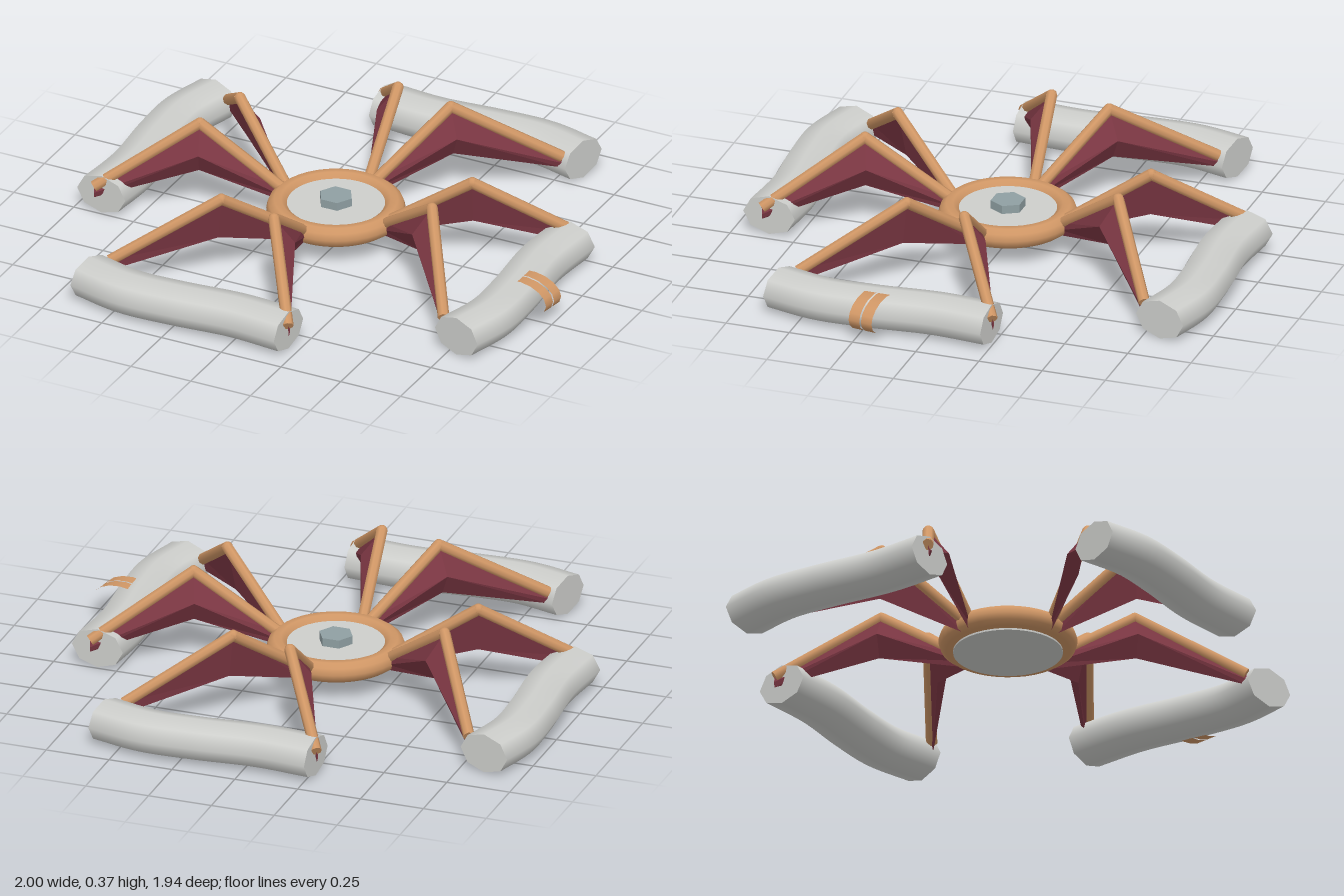
import * as THREE from 'three';

const material = (name, color, extra = {}) =>
  new THREE.MeshStandardMaterial({ name, color, ...extra });
const V = (x, y, z) => new THREE.Vector3(x, y, z);

export function createModel() {
  const copper = material('copper', 0xcf9665);
  const maroon = material('maroon', 0x7a3642, { side: THREE.DoubleSide, flatShading: true });
  const pale = material('pale grey', 0xcdcecb);
  const steel = material('steel', 0x8f9fa2, { flatShading: true });

  const model = new THREE.Group();
  model.name = 'model';
  model.position.x = -0.03;

  const add = (parent, name, geometry, mat) => {
    const mesh = new THREE.Mesh(geometry, mat);
    mesh.name = name;
    parent.add(mesh);
    return mesh;
  };

  // Round bar between two points
  const bar = (parent, name, a, b, r = 0.022) => {
    const mesh = add(parent, name, new THREE.CylinderGeometry(r, r, a.distanceTo(b), 8), copper);
    mesh.position.copy(a).lerp(b, 0.5);
    mesh.quaternion.setFromUnitVectors(V(0, 1, 0), b.clone().sub(a).normalize());
  };

  // Triangular-section web hanging under a leg, bulging towards the hub-to-tip line
  const web = (parent, start, knee, tip) => {
    const along = tip.clone().sub(start).setY(0).normalize();
    const reach = knee.clone().sub(start).setY(0).dot(along);
    const side = start.clone().addScaledVector(along, reach).sub(knee).setY(0);
    const section = (p, drop, bulge) => [
      p.clone(),
      p.clone().addScaledVector(side, bulge).setY(p.y - drop * 0.55),
      p.clone().addScaledVector(side, bulge * 0.45).setY(p.y - drop),
    ];
    const rings = [section(start, 0.05, 0.1), section(knee, 0.18, 0.95), section(tip, 0.045, 0.1)];
    const points = [];
    for (let i = 0; i < 2; i++) {
      for (let j = 0; j < 3; j++) {
        const k = (j + 1) % 3, a = rings[i], b = rings[i + 1];
        points.push(a[j], b[j], b[k], a[j], b[k], a[k]);
      }
    }
    points.push(...rings[0], ...rings[2]);
    const geometry = new THREE.BufferGeometry().setFromPoints(points);
    geometry.computeVertexNormals();
    add(parent, 'legWeb', geometry, maroon);
  };

  const leg = (parent, name, start, knee, tip) => {
    const group = new THREE.Group();
    group.name = name;
    bar(group, 'upperStrut', start, knee);
    bar(group, 'lowerStrut', knee, tip);
    add(group, 'kneeJoint', new THREE.SphereGeometry(0.022, 8, 6), copper).position.copy(knee);
    web(group, start, knee, tip);
    parent.add(group);
  };

  // Curved foot tube with a flattened octagonal section
  const foot = (parent) => {
    const group = new THREE.Group();
    group.name = 'footTube';
    const curve = new THREE.CatmullRomCurve3([
      V(0.86, 0, -0.24), V(0.843, 0, -0.02), V(0.862, 0, 0.23), V(0.864, 0, 0.43), V(0.818, 0, 0.617),
    ]);
    add(group, 'tubeBody', new THREE.TubeGeometry(curve, 24, 0.105, 8), pale);
    for (const [t, sign] of [[0, -1], [1, 1]]) {
      const cap = add(group, 'tubeEnd', new THREE.CircleGeometry(0.105, 8), pale);
      cap.position.copy(curve.getPoint(t));
      const dir = curve.getTangent(t).multiplyScalar(sign);
      cap.quaternion.setFromUnitVectors(V(0, 0, 1), dir);
      if (sign < 0) cap.rotation.set(0, Math.atan2(dir.x, dir.z), 0);
    }
    group.scale.y = 0.74;
    group.position.y = 0.0777;
    parent.add(group);
  };

  // Four identical arms around the hub
  for (let i = 0; i < 4; i++) {
    const arm = new THREE.Group();
    arm.name = 'arm';
    arm.rotation.y = -i * Math.PI / 2;
    foot(arm);
    leg(arm, 'straightLeg', V(0.23, 0.13, 0.02), V(0.557, 0.35, -0.025), V(0.885, 0.11, -0.25));
    leg(arm, 'bentLeg', V(0.23, 0.13, 0.045), V(0.513, 0.35, 0.218), V(0.74, 0.115, 0.568));
    model.add(arm);
  }

  // Hub: ring, disc and hexagonal bolt
  const ring = add(model, 'hubRing', new THREE.TorusGeometry(0.218, 0.042, 10, 40), copper);
  ring.rotation.x = Math.PI / 2;
  ring.position.y = 0.117;
  add(model, 'hubDisc', new THREE.CylinderGeometry(0.205, 0.205, 0.07, 40), pale).position.y = 0.105;
  const bolt = add(model, 'hubBolt', new THREE.CylinderGeometry(0.066, 0.066, 0.035, 6), steel);
  bolt.rotation.y = Math.PI / 6;
  bolt.position.y = 0.155;

  // Pair of clips on the outside of one foot tube
  const clips = new THREE.Group();
  clips.name = 'clips';
  for (const z of [-0.026, 0.026]) {
    const half = new THREE.CylinderGeometry(1, 1, 0.045, 16, 1, 0, Math.PI);
    half.rotateX(Math.PI / 2);
    half.scale(0.115, 0.067, 1);
    add(clips, 'clip', half, copper).position.z = z;
  }
  clips.position.set(0.91, 0.083, 0.205);
  clips.rotation.y = -0.15;
  model.add(clips);

  const root = new THREE.Group();
  root.name = 'landingFrame';
  root.add(model);
  return root;
}
